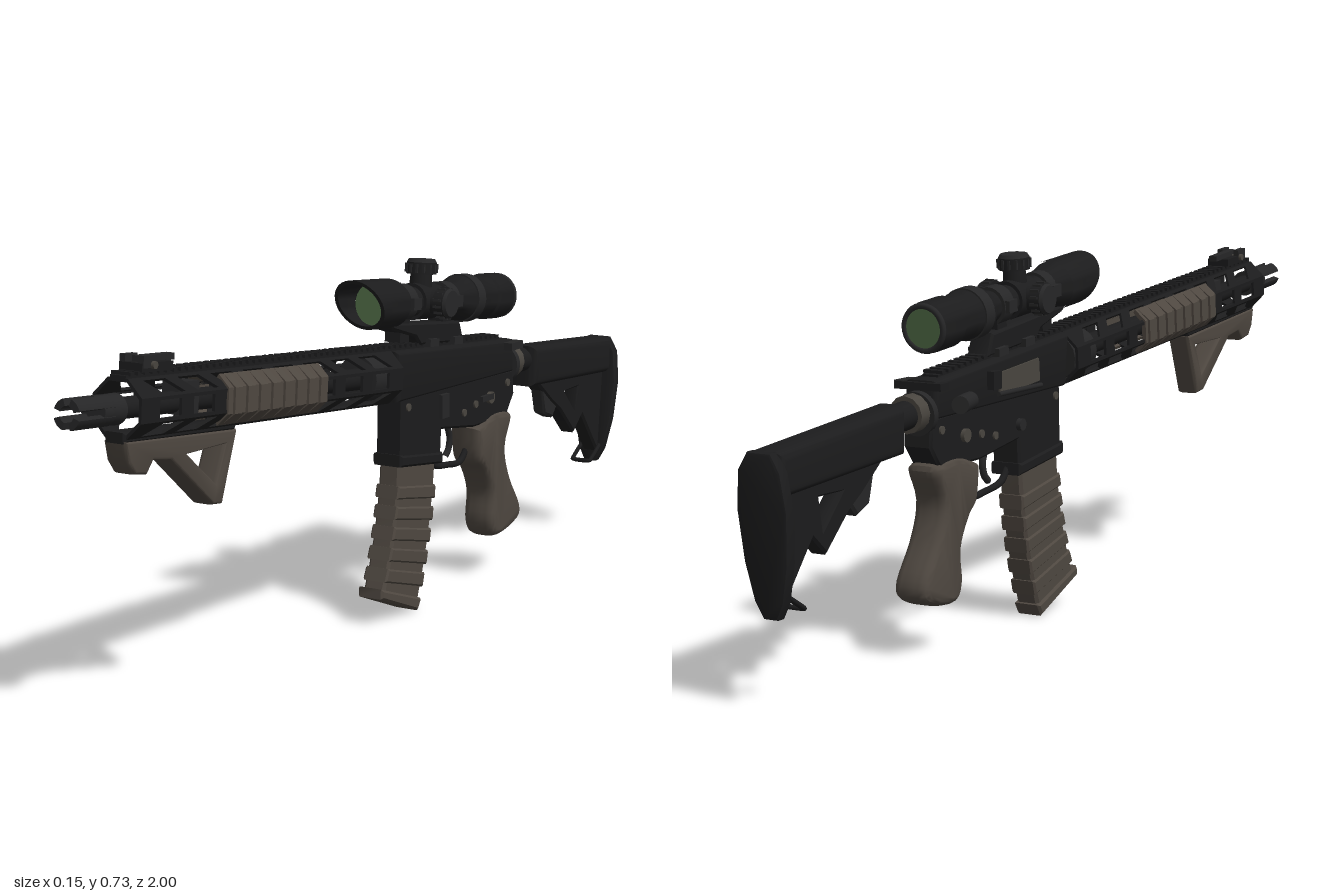
import * as THREE from 'three';
import { mergeGeometries, toCreasedNormals } from 'three/addons/utils/BufferGeometryUtils.js';

const material = (name, color) => Object.assign(new THREE.MeshStandardMaterial({ color }), { name });
const black = material('matte black', 0x1c1c1d);
const dark = material('dark metal', 0x262627);
const brown = material('earth brown polymer', 0x4e4740);
const steel = material('worn steel', 0x49453f);
const glass = material('green glass', 0x4f6a45);
glass.side = THREE.DoubleSide;

function add(parent, name, geo, mat, x = 0, y = 0, z = 0) {
  const m = new THREE.Mesh(geo, mat);
  m.name = name;
  m.position.set(x, y, z);
  parent.add(m);
  return m;
}
const V = (pts) => pts.map(([a, b]) => new THREE.Vector2(a, b));
const box = (w, h, d, x = 0, y = 0, z = 0) => new THREE.BoxGeometry(w, h, d).translate(x, y, z);
// Cylinder along z (front radius first) or along x
const cylZ = (rf, rb, len, n = 28) => new THREE.CylinderGeometry(rf, rb, len, n).rotateX(Math.PI / 2);
const cylX = (r, len, n = 20) => new THREE.CylinderGeometry(r, r, len, n).rotateZ(Math.PI / 2);
// Lathe around z from [z, radius] pairs, back to front
const latheZ = (pts, n = 32) => toCreasedNormals(
  new THREE.LatheGeometry(V(pts.map(([z, r]) => [r, z])), n).rotateX(Math.PI / 2), 0.6);

// Side outline of [z, y] points, extruded across x with a rounded edge
function profile(pts, width, { bevel = 0.005, round = bevel, smooth = false, holes = [] } = {}) {
  const outline = smooth ? new THREE.SplineCurve(V([...pts, pts[0]])).getPoints(56).slice(0, -1) : V(pts);
  const shape = new THREE.Shape(outline);
  for (const h of holes) shape.holes.push(new THREE.Path(V(h)));
  const geo = new THREE.ExtrudeGeometry(shape, {
    depth: width - 2 * round, bevelEnabled: true, bevelSize: bevel, bevelOffset: -bevel,
    bevelThickness: round, bevelSegments: round > 0.008 ? 5 : 1,
  });
  geo.translate(0, 0, -width / 2 + round).rotateY(-Math.PI / 2);
  return toCreasedNormals(geo, 0.7);
}

// Flat handguard wall with slanted slots, lying along z
function slottedWall(len, wide, slant) {
  const shape = new THREE.Shape(V([[0, -wide / 2], [len, -wide / 2], [len, wide / 2], [0, wide / 2]]));
  if (slant) for (let i = 0; i < 8; i++) {
    const c = 0.085 + i * 0.1, h = wide * 0.36, s = 0.016 * slant;
    shape.holes.push(new THREE.Path(V([[c - 0.032 - s, -h], [c + 0.032 - s, -h], [c + 0.032 + s, h], [c - 0.032 + s, h]])));
  }
  return new THREE.ExtrudeGeometry(shape, { depth: 0.006, bevelEnabled: false }).rotateY(-Math.PI / 2);
}

// Barrel, handguard, rail and sights, along the tilted bore axis
function buildFront(g) {
  add(g, 'barrel', cylZ(0.019, 0.022, 0.9), black, 0, 0, 0.44);
  add(g, 'gasBlock', box(0.045, 0.06, 0.05), dark, 0, 0.008, 0.68);
  add(g, 'muzzleCollar', cylZ(0.026, 0.028, 0.06), dark, 0, 0, 0.9);
  for (let i = 0; i < 4; i++) {
    const a = i * Math.PI / 2, s = new THREE.Shape();
    s.absarc(0, 0, 0.028, a + 0.3, a + Math.PI / 2 - 0.3, false);
    s.absarc(0, 0, 0.015, a + Math.PI / 2 - 0.3, a + 0.3, true);
    add(g, 'muzzleProng', new THREE.ExtrudeGeometry(s, { depth: 0.1, bevelEnabled: false, curveSegments: 6 }), dark, 0, 0, 0.902);
  }
  const R = 0.047, side = 2 * (R + 0.006) * Math.tan(Math.PI / 8);
  const slants = [0.01, 1, 0, -1, 0.01, 1, 0, -1];
  slants.forEach((s, k) => {
    const geo = slottedWall(0.87, side, s).translate(R + 0.006, 0, 0).rotateZ(k * Math.PI / 4);
    add(g, 'handguardWall', geo, black, 0, 0, -0.005);
  });
  add(g, 'barrelNut', cylZ(0.046, 0.046, 0.09, 16), dark, 0, 0, 0.04);
  add(g, 'topRail', box(0.034, 0.006, 1.33), black, 0, 0.055, 0.2);
  const teeth = [];
  for (let z = -0.45; z < 0.86; z += 0.021) teeth.push(box(0.042, 0.007, 0.011, 0, 0.0605, z));
  add(g, 'railTeeth', mergeGeometries(teeth), black);

  // Wrap-around rail covers with ribs
  for (const s of [1, -1]) {
    const wrap = (o) => V([[0.032, 0.047], [0.053 + o, 0.024], [0.053 + o, -0.024], [0.032, -0.047], [0.028, -0.04], [0.047, -0.02], [0.047, 0.02], [0.028, 0.04]].map(([x, y]) => [x * s, y]));
    const cover = (o, d) => new THREE.ExtrudeGeometry(new THREE.Shape(wrap(o)), { depth: d, bevelEnabled: false });
    add(g, 'railCover', cover(0.003, 0.33), brown, 0, 0, 0.28);
    for (let i = 0; i < 8; i++) add(g, 'railCoverRib', cover(0.008, 0.022), brown, 0, 0, 0.29 + i * 0.0405);
  }

  // Folded front sight
  add(g, 'frontSightBase', box(0.05, 0.016, 0.09), black, 0, 0.07, 0.785);
  add(g, 'frontSightBlade', box(0.018, 0.012, 0.1), dark, 0, 0.083, 0.765);
  for (const s of [1, -1]) add(g, 'frontSightEar', box(0.012, 0.022, 0.035), dark, s * 0.02, 0.08, 0.81);
  add(g, 'frontSightPin', cylX(0.007, 0.064), steel, 0, 0.074, 0.8);
}

// Scope along its own axis
function buildScope(g) {
  const s = new THREE.Group();
  s.name = 'scope';
  s.position.set(0, 0.147, 0.0135);
  g.add(s);
  add(s, 'scopeTube', latheZ([[-0.49, 0], [-0.49, 0.044], [-0.475, 0.049], [-0.42, 0.049], [-0.415, 0.045], [-0.37, 0.045], [-0.365, 0.048],
    [-0.31, 0.048], [-0.29, 0.036], [-0.26, 0.031], [-0.1, 0.031], [-0.08, 0.034], [-0.02, 0.048], [0.015, 0.048], [0.015, 0]]), black);
  // Slanted sunshade: the front rim leans forward at the top
  const hood = new THREE.LatheGeometry(V([[0.05, -0.03], [0.05, 0.02], [0.05, 0.075], [0.043, 0.075], [0.043, 0.015]]), 36).rotateX(Math.PI / 2);
  const p = hood.attributes.position;
  for (let i = 0; i < p.count; i++) if (p.getZ(i) > 0.05) p.setZ(i, p.getZ(i) + p.getY(i) * 0.6);
  add(s, 'sunshade', toCreasedNormals(hood, 0.6).scale(1.12, 1, 1), black);
  add(s, 'frontLens', new THREE.CircleGeometry(0.044, 32), glass, 0, 0, 0.02);
  add(s, 'rearLens', new THREE.CircleGeometry(0.037, 32), glass, 0, 0, -0.493);
  add(s, 'eyepieceRim', new THREE.TorusGeometry(0.042, 0.006, 8, 32), dark, 0, 0, -0.49);
  add(s, 'zoomRing', cylZ(0.051, 0.051, 0.03, 24), dark, 0, 0, -0.335);
  // Turrets: top and both sides
  add(s, 'turretHousing', cylZ(0.038, 0.038, 0.075, 24), black, 0, 0, -0.16);
  for (const a of [0, Math.PI / 2, -Math.PI / 2]) {
    const t = new THREE.Group();
    t.name = 'turret';
    t.position.z = -0.16;
    t.rotation.z = a;
    s.add(t);
    const tall = a === 0 ? 0.006 : -0.004;
    add(t, 'turretStem', new THREE.CylinderGeometry(0.022, 0.024, 0.03, 20), black, 0, 0.042, 0);
    add(t, 'turretCap', new THREE.CylinderGeometry(0.031, 0.031, 0.024, 20), black, 0, 0.062 + tall, 0);
    add(t, 'turretTop', new THREE.CylinderGeometry(0.027, 0.031, 0.007, 20), dark, 0, 0.077 + tall, 0);
    for (let i = 0; i < 14; i++) {
      const b = i * Math.PI / 7;
      add(t, 'turretKnurl', box(0.005, 0.018, 0.005), dark, 0.031 * Math.cos(b), 0.062 + tall, 0.031 * Math.sin(b));
    }
  }
  // Mount
  for (const z of [-0.075, -0.245]) {
    add(s, 'scopeRing', cylZ(0.038, 0.038, 0.035, 24), dark, 0, 0, z);
    add(s, 'ringPost', box(0.036, 0.06, 0.035), black, 0, -0.05, z);
    for (const x of [1, -1]) add(s, 'ringLug', box(0.012, 0.024, 0.03), dark, x * 0.04, 0, z);
  }
  add(s, 'mountBase', profile([[-0.01, -0.04], [-0.29, -0.045], [-0.31, -0.088], [-0.13, -0.088], [-0.11, -0.07], [-0.02, -0.052]], 0.05), black);
  for (const z of [-0.17, -0.27]) add(s, 'mountClamp', box(0.07, 0.016, 0.035), dark, 0, -0.084, z);
}

// Receiver, trigger and controls
function buildReceiver(g) {
  add(g, 'upperReceiver', profile([[-0.01, 0.562], [-0.5, 0.518], [-0.505, 0.445], [-0.02, 0.455]], 0.072, { bevel: 0.01, round: 0.014 }), black);
  add(g, 'lowerReceiver', profile([[-0.04, 0.47], [-0.51, 0.45], [-0.515, 0.395], [-0.48, 0.35], [-0.34, 0.35], [-0.2, 0.37],
    [-0.195, 0.3], [-0.036, 0.322]], 0.062), black);
  add(g, 'magazineWellLip', profile([[-0.03, 0.345], [-0.2, 0.322], [-0.2, 0.298], [-0.03, 0.32]], 0.07), black);
  const rod = (name, pts, mat) => add(g, name, new THREE.TubeGeometry(
    new THREE.CatmullRomCurve3(pts.map(([z, y]) => new THREE.Vector3(0, y, z))), 20, 0.007, 8), mat);
  rod('triggerGuard', [[-0.195, 0.31], [-0.215, 0.288], [-0.28, 0.276], [-0.33, 0.274], [-0.36, 0.3]], black);
  rod('trigger', [[-0.27, 0.37], [-0.285, 0.335], [-0.28, 0.31], [-0.265, 0.295]], dark);
  // Left controls
  add(g, 'boltRelease', box(0.01, 0.05, 0.03), dark, 0.035, 0.42, -0.2);
  add(g, 'selectorHub', cylX(0.013, 0.078), steel, 0, 0.405, -0.4);
  add(g, 'selectorLever', box(0.008, 0.012, 0.05), dark, 0.037, 0.408, -0.38);
  for (const [y, z] of [[0.44, -0.06], [0.39, -0.29], [0.4, -0.34], [0.425, -0.48]]) add(g, 'pin', cylX(0.008, 0.07), steel, 0, y, z);
  // Right side: port cover, forward assist, release button
  add(g, 'portCover', box(0.008, 0.045, 0.15), steel, -0.036, 0.495, -0.21).rotation.x = -0.09;
  add(g, 'portHinge', cylZ(0.005, 0.005, 0.16, 8), dark, -0.04, 0.47, -0.21);
  add(g, 'brassDeflector', box(0.022, 0.035, 0.03), black, -0.04, 0.5, -0.31);
  add(g, 'forwardAssist', cylZ(0.017, 0.017, 0.07, 16), dark, -0.046, 0.47, -0.42).rotation.y = 0.3;
  add(g, 'magazineRelease', cylX(0.012, 0.012), dark, -0.035, 0.4, -0.2);
  add(g, 'chargingHandle', box(0.1, 0.014, 0.03), black, 0, 0.508, -0.495);
  add(g, 'chargingLatch', box(0.02, 0.016, 0.05), dark, 0.046, 0.508, -0.48);
}

// Curved magazine with ribs and a base plate
function buildMagazine(g) {
  const front = (t) => [-0.04 + 0.015 * t + 0.05 * t * t, 0.33 - 0.265 * t];
  const back = (t) => [-0.185 + 0.025 * t + 0.045 * t * t, 0.31 - 0.29 * t];
  const ts = [0, 0.2, 0.4, 0.6, 0.8, 1];
  add(g, 'magazineBody', profile([...ts.map(front), ...ts.map(back).reverse()], 0.05, { bevel: 0.006 }), brown);
  for (let i = 0; i < 5; i++) {
    const a = 0.19 + i * 0.155, b = a + 0.1;
    const [fa, fb, bb, ba] = [front(a), front(b), back(b), back(a)];
    add(g, 'magazineRib', profile([[fa[0] + 0.003, fa[1]], [fb[0] + 0.005, fb[1]], [bb[0] - 0.005, bb[1]], [ba[0] - 0.003, ba[1]]], 0.057, { bevel: 0.004 }), brown);
  }
  add(g, 'magazineBase', profile([[0.035, 0.078], [0.037, 0.057], [-0.108, 0], [-0.122, 0.024]], 0.06), brown);
}

// Pistol grip and angled foregrip
function buildGrips(g) {
  add(g, 'pistolGrip', profile([[-0.345, 0.345], [-0.355, 0.275], [-0.385, 0.243], [-0.412, 0.19], [-0.408, 0.125], [-0.437, 0.088],
    [-0.53, 0.105], [-0.544, 0.145], [-0.495, 0.22], [-0.475, 0.285], [-0.5, 0.355], [-0.42, 0.37]], 0.074, { bevel: 0.016, round: 0.026, smooth: true }), brown);
  add(g, 'foregripMount', profile([[0.87, 0.55], [0.87, 0.53], [0.54, 0.497], [0.53, 0.515]], 0.046), black);
  add(g, 'angledForegrip', profile([[0.87, 0.535], [0.862, 0.495], [0.845, 0.472], [0.81, 0.465], [0.79, 0.487], [0.74, 0.478], [0.615, 0.372],
    [0.585, 0.368], [0.573, 0.4], [0.535, 0.5]], 0.05, { bevel: 0.006, round: 0.012, holes: [[[0.69, 0.48], [0.575, 0.477], [0.605, 0.412]]] }), brown);
}

// Receiver extension and adjustable stock
function buildStock(g, bore) {
  add(bore, 'receiverExtension', cylZ(0.027, 0.027, 0.2), black, 0, 0, -0.58);
  add(bore, 'endPlate', cylZ(0.042, 0.042, 0.014), dark, 0, -0.005, -0.515);
  add(bore, 'castleNut', cylZ(0.036, 0.036, 0.028, 12), steel, 0, 0, -0.54);
  add(g, 'stockTube', profile([[-0.6, 0.486], [-0.985, 0.452], [-0.985, 0.37], [-0.6, 0.395]], 0.074, { bevel: 0.018, round: 0.02 }), black);
  add(g, 'stockFrame', profile([[-0.63, 0.42], [-0.98, 0.41], [-0.975, 0.2], [-0.955, 0.18], [-0.87, 0.285], [-0.83, 0.25], [-0.76, 0.315],
    [-0.72, 0.34], [-0.66, 0.385]], 0.038, { holes: [[[-0.78, 0.355], [-0.85, 0.355], [-0.84, 0.295]]] }), black);
  add(g, 'stockLever', profile([[-0.67, 0.395], [-0.69, 0.318], [-0.73, 0.302], [-0.755, 0.33], [-0.76, 0.39]], 0.03), dark);
  // Tapered butt pad
  const half = [[0.025, 0.452], [0.044, 0.42], [0.052, 0.35], [0.045, 0.26], [0.03, 0.19], [0.014, 0.16]];
  const shape = new THREE.Shape(V([...half, ...half.map(([x, y]) => [-x, y]).reverse()]));
  const pad = new THREE.ExtrudeGeometry(shape, { depth: 0.016, bevelSize: 0.005, bevelOffset: -0.005, bevelThickness: 0.005, bevelSegments: 2 });
  const p = pad.attributes.position;
  for (let i = 0; i < p.count; i++) p.setZ(i, p.getZ(i) - 0.995 + Math.max(0, 0.42 - p.getY(i)) * 0.1);
  add(g, 'buttPad', toCreasedNormals(pad, 0.6), black);
  // Sling loop at the toe
  const loop = [[0.022, 0.2, -0.955], [0.022, 0.17, -0.905], [-0.022, 0.17, -0.905], [-0.022, 0.2, -0.955]].map((a) => new THREE.Vector3(...a));
  add(g, 'slingLoop', new THREE.TubeGeometry(new THREE.CatmullRomCurve3(loop, true, 'catmullrom', 0.1), 32, 0.005, 6, true), black);
}

export function createModel() {
  const model = new THREE.Group();
  model.name = 'rifle';
  const body = new THREE.Group();
  body.name = 'body';
  body.position.x = 0.005;
  model.add(body);
  const bore = new THREE.Group();
  bore.name = 'boreAxis';
  bore.position.y = 0.51;
  bore.rotation.x = -0.0917;
  body.add(bore);
  buildFront(bore);
  buildScope(bore);
  buildReceiver(body);
  buildMagazine(body);
  buildGrips(body);
  buildStock(body, bore);
  return model;
}
